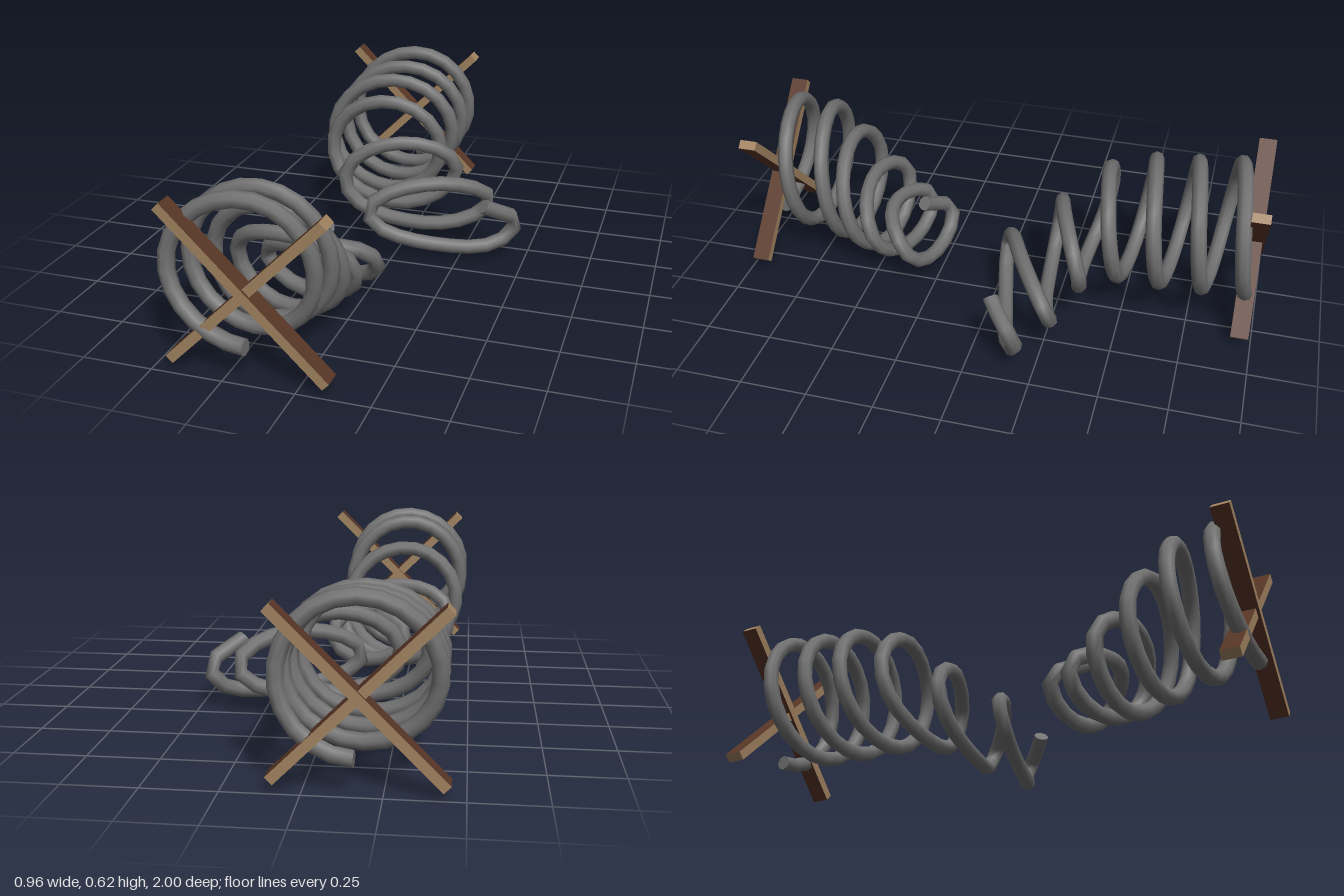
import * as THREE from 'three';

const steel = new THREE.MeshStandardMaterial({ name: 'steel grey', color: 0x707070 });
const tan = new THREE.MeshStandardMaterial({ name: 'light wood', color: 0xa08260 });
const brown = new THREE.MeshStandardMaterial({ name: 'dark wood', color: 0x583626 });

const WIRE = 0.029;

// Smooth path through quarter-turn points; handles are sized so four points make a round coil.
function coilPath(rows) {
  const pts = rows.map((r) => new THREE.Vector3(...r));
  const n = pts.length - 1;
  // The outer end keeps curving as if the coil went on: its missing neighbour lies opposite
  const before = new THREE.Vector3(pts[3].x, pts[3].y, pts[0].z);
  const handle = (i) => {
    const d = pts[Math.min(i + 1, n)].clone().sub(i ? pts[i - 1] : before);
    return d.multiply(new THREE.Vector3(0.276, 0.276, 0.21));
  };
  const path = new THREE.CurvePath();
  for (let i = 0; i < n; i++) {
    path.add(new THREE.CubicBezierCurve3(
      pts[i], pts[i].clone().add(handle(i)),
      pts[i + 1].clone().sub(handle(i + 1)), pts[i + 1]));
  }
  return path;
}

// Round wire with closed ends
function spring(name, rows) {
  const group = new THREE.Group();
  group.name = name;
  const path = coilPath(rows);
  const wire = new THREE.Mesh(
    new THREE.TubeGeometry(path, (rows.length - 1) * 5, WIRE, 8, false), steel);
  wire.name = name + 'Wire';
  group.add(wire);
  for (const [t, sign] of [[0, -1], [1, 1]]) {
    const cap = new THREE.Mesh(new THREE.CircleGeometry(WIRE, 8), steel);
    cap.name = name + 'WireEnd';
    const p = path.getPointAt(t);
    cap.position.copy(p);
    cap.lookAt(p.clone().addScaledVector(path.getTangentAt(t), sign));
    group.add(cap);
  }
  return group;
}

// Two diagonal slats: dark broad sides, light edges and ends
function cross(name, z, offset) {
  const group = new THREE.Group();
  group.name = name;
  for (const s of [-1, 1]) {
    const slat = new THREE.Mesh(
      new THREE.BoxGeometry(0.766, 0.034, 0.066), [tan, tan, brown, brown, tan, tan]);
    slat.name = name + 'Slat';
    slat.rotation.z = s * Math.PI / 4;
    slat.position.z = -s * offset;
    group.add(slat);
  }
  group.position.set(-0.172, 0.312, z);
  return group;
}

export function createModel() {
  const model = new THREE.Group();
  model.name = 'brokenSpring';

  // Front half, from its cross to the drooping inner end (bottom, left, top, right, ...)
  model.add(spring('frontSpring', [
    [-0.175, 0.125, 0.97],
    [-0.455, 0.35, 0.93], [-0.22, 0.595, 0.89], [0.015, 0.36, 0.84], [-0.2, 0.105, 0.80],
    [-0.455, 0.33, 0.77], [-0.22, 0.58, 0.745], [0.015, 0.32, 0.69], [-0.21, 0.058, 0.65],
    [-0.44, 0.27, 0.62], [-0.21, 0.48, 0.65], [0.02, 0.25, 0.60], [-0.2, 0.033, 0.515],
    [-0.415, 0.21, 0.49], [-0.2, 0.335, 0.56], [0.03, 0.2, 0.50], [-0.16, 0.05, 0.41],
    [-0.355, 0.16, 0.37], [-0.15, 0.255, 0.455], [0.055, 0.2, 0.375], [-0.05, 0.08, 0.285],
    [-0.25, 0.17, 0.25], [-0.13, 0.275, 0.33],
  ]));

  // Back half, from its cross to the inner end bending to the side (bottom, right, top, left, ...)
  model.add(spring('backSpring', [
    [-0.16, 0.115, -0.965],
    [0.085, 0.36, -0.93], [-0.16, 0.6, -0.89], [-0.415, 0.35, -0.855], [-0.16, 0.115, -0.81],
    [0.09, 0.35, -0.775], [-0.16, 0.578, -0.73], [-0.415, 0.34, -0.695], [-0.16, 0.11, -0.65],
    [0.09, 0.34, -0.615], [-0.16, 0.562, -0.57], [-0.415, 0.33, -0.535], [-0.16, 0.11, -0.49],
    [0.08, 0.32, -0.455], [-0.15, 0.52, -0.40], [-0.365, 0.3, -0.38], [-0.1, 0.115, -0.325],
    [0.175, 0.27, -0.355], [-0.05, 0.40, -0.25], [-0.25, 0.22, -0.20], [0.05, 0.085, -0.215],
    [0.333, 0.185, -0.28], [0.12, 0.295, -0.12], [-0.092, 0.165, -0.025], [0.25, 0.055, -0.10],
    [0.457, 0.14, -0.185], [0.35, 0.25, -0.07],
  ]));

  model.add(cross('frontCross', 0.953, 0.005));
  model.add(cross('backCross', -0.962, 0.005));
  return model;
}
